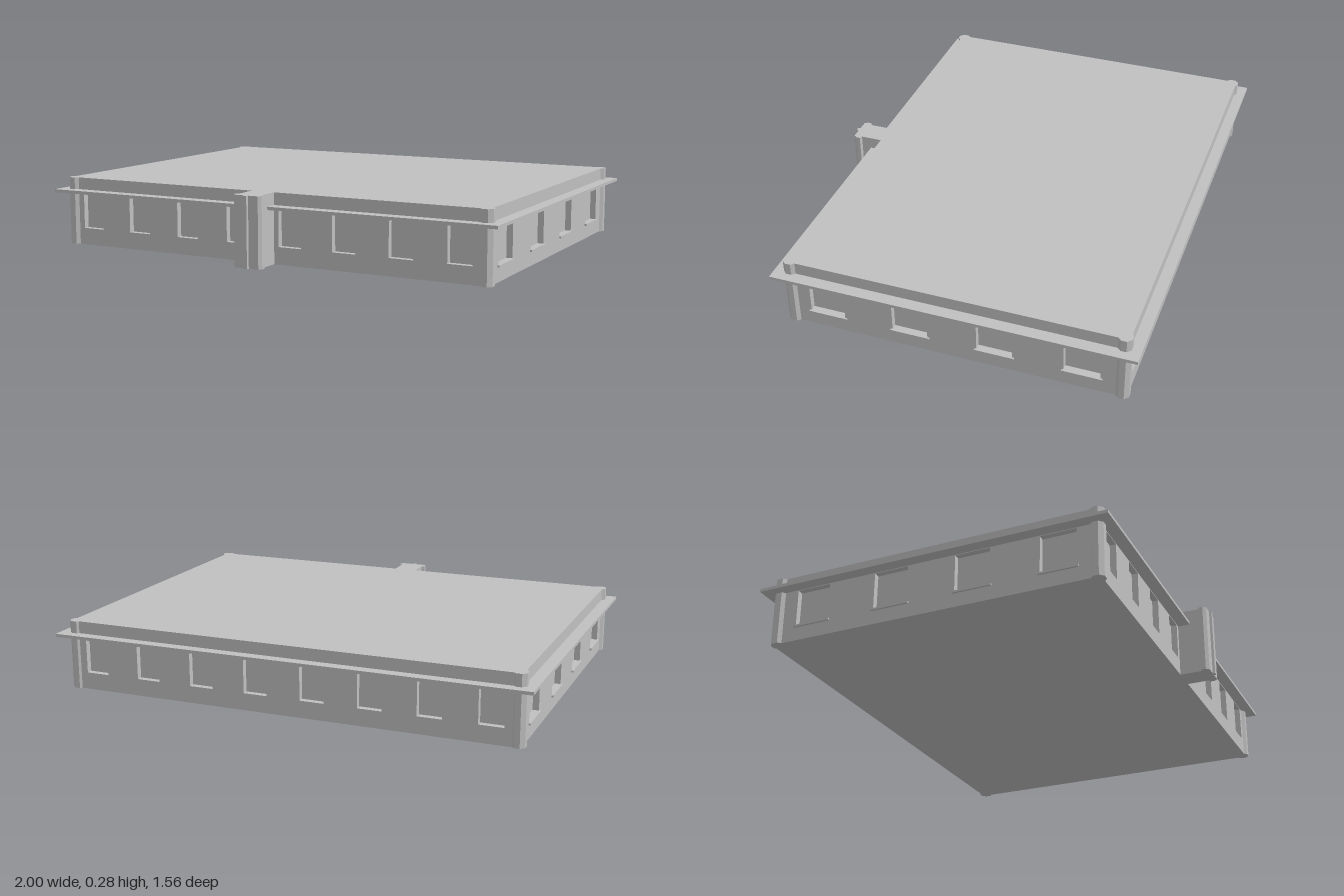
import * as THREE from 'three';

const H = 0.285;                       // overall height
const X = 0.95, ZB = -0.735, ZF = 0.645; // wall faces
const ZC = (ZB + ZF) / 2;
const RECESS = 0.025;                  // window depth

export function createModel() {
  const model = new THREE.Group();
  model.name = 'building';
  const stone = new THREE.MeshStandardMaterial({ color: 0xc0c0c0 });
  stone.name = 'grey stone';

  const add = (name, geometry, parent = model) => {
    const mesh = new THREE.Mesh(geometry, stone);
    mesh.name = name;
    parent.add(mesh);
    return mesh;
  };
  const box = (name, w, h, d, x, y, z, parent) => {
    const mesh = add(name, new THREE.BoxGeometry(w, h, d), parent);
    mesh.position.set(x, y, z);
    return mesh;
  };

  // Solid core, set back to form the window panes
  box('core', 2 * (X - RECESS), H, ZF - ZB - 2 * RECESS, 0, H / 2, ZC);

  // Wall slab with window openings; its outer face looks along local +z
  const wall = (name, width, centres, w, y0, y1, hasSills) => {
    const group = new THREE.Group();
    group.name = name;
    const shape = new THREE.Shape([
      new THREE.Vector2(-width / 2, 0), new THREE.Vector2(width / 2, 0),
      new THREE.Vector2(width / 2, H), new THREE.Vector2(-width / 2, H),
    ]);
    for (const c of centres) {
      shape.holes.push(new THREE.Path([
        new THREE.Vector2(c - w / 2, y0), new THREE.Vector2(c - w / 2, y1),
        new THREE.Vector2(c + w / 2, y1), new THREE.Vector2(c + w / 2, y0),
      ]));
      if (hasSills) box('windowSill', w + 0.016, 0.008, 0.012, c, y0 - 0.004, 0.002, group);
    }
    const slab = add('wallSlab', new THREE.ExtrudeGeometry(shape, { depth: RECESS, bevelEnabled: false }), group);
    slab.position.z = -RECESS;
    model.add(group);
    return group;
  };

  const longCentres = [-0.836, -0.598, -0.358, -0.12, 0.12, 0.358, 0.598, 0.836];
  wall('frontWall', 2 * X, longCentres, 0.1, 0.07, 0.219, false).position.z = ZF;
  const back = wall('backWall', 2 * X, longCentres, 0.1, 0.07, 0.219, false);
  back.position.z = ZB;
  back.rotation.y = Math.PI;
  for (const s of [1, -1]) {
    const centres = [-0.52, -0.173, 0.173, 0.52].map((c) => c - s * 0.006);
    const side = wall(s > 0 ? 'leftWall' : 'rightWall', ZF - ZB - 2 * RECESS, centres, 0.145, 0.065, 0.219, true);
    side.position.set(s * X, 0, ZC);
    side.rotation.y = s * Math.PI / 2;
  }

  // Projecting ledge below the parapet
  box('ledge', 2, 0.013, 1.475, 0, 0.2285, -0.0425);

  // Faceted corner columns
  for (const x of [-0.935, 0.935]) {
    for (const z of [-0.715, 0.63]) {
      const column = add('cornerColumn', new THREE.CylinderGeometry(0.03, 0.03, H, 8).toNonIndexed());
      column.geometry.rotateY(Math.PI / 8);
      column.geometry.computeVertexNormals();
      column.position.set(x, H / 2, z);
    }
  }

  // Front pier with a flared, stepped end
  const half = [[0.05, 0.62], [0.05, 0.735], [0.063, 0.74], [0.063, 0.757], [0.053, 0.77], [0.01, 0.77], [0.008, 0.78]];
  const outline = [...half, ...half.slice().reverse().map(([x, z]) => [-x, z])];
  const pierShape = new THREE.Shape(outline.map(([x, z]) => new THREE.Vector2(x, -z)));
  const pier = new THREE.ExtrudeGeometry(pierShape, { depth: H, bevelEnabled: false });
  pier.rotateX(-Math.PI / 2);
  add('frontPier', pier);

  return model;
}
